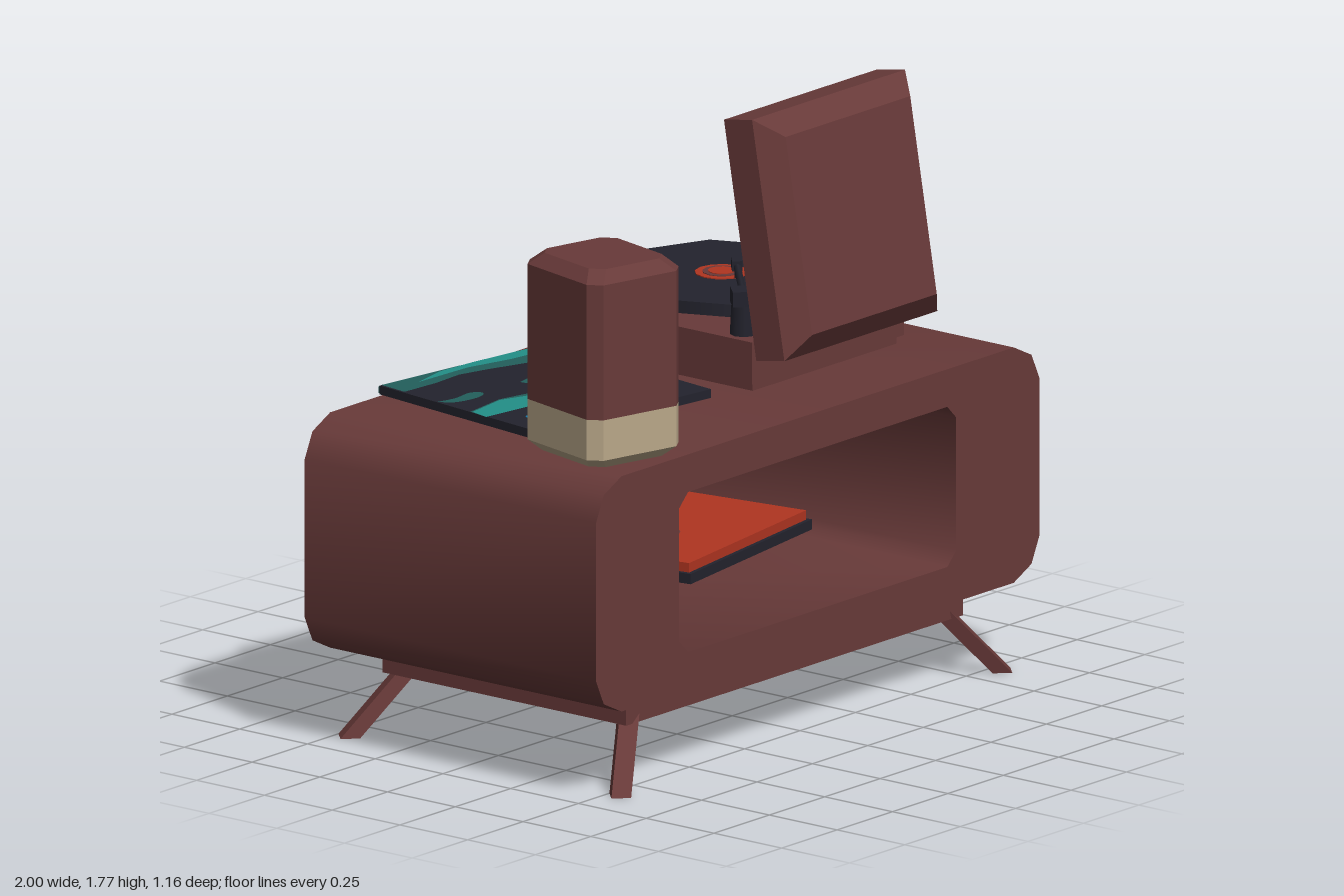
import * as THREE from 'three';
import { toCreasedNormals } from 'three/addons/utils/BufferGeometryUtils.js';

const mat = (name, color, side = THREE.FrontSide) => {
  const m = new THREE.MeshStandardMaterial({ color, side });
  m.name = name;
  return m;
};

export function createModel() {
  const wood = mat('wood', 0x683a39);
  const dark = mat('charcoal', 0x23232d);
  const cream = mat('cream', 0xb9a789);
  const red = mat('red', 0xb03521);
  const deepTeal = mat('deep teal', 0x235f5c);
  const teal = mat('teal', 0x238f88);
  const blue = mat('blue', 0x0f7ab0);

  const model = new THREE.Group();
  const add = (name, geo, material, x = 0, y = 0, z = 0, parent = model) => {
    const m = new THREE.Mesh(geo, material);
    m.name = name;
    m.position.set(x, y, z);
    parent.add(m);
    return m;
  };
  const group = (name, x, y, z, parent = model) => {
    const g = new THREE.Group();
    g.name = name;
    g.position.set(x, y, z);
    parent.add(g);
    return g;
  };
  const box = (w, h, d) => new THREE.BoxGeometry(w, h, d);
  const shapeOf = (pts) => new THREE.Shape(pts.map(([x, y]) => new THREE.Vector2(x, y)));
  const extrude = (shape, depth) => new THREE.ExtrudeGeometry(shape, { depth, bevelEnabled: false, curveSegments: 6 });
  // Rectangle with cut corners
  const cutRect = (w, h, c) => {
    const a = w / 2, b = h / 2;
    return [[a - c, -b], [a, -b + c], [a, b - c], [a - c, b], [-a + c, b], [-a, b - c], [-a, -b + c], [-a + c, -b]];
  };
  // Flat picture lying in the xz plane, facing up
  const picture = (name, pts, material, y, parent = model, smooth = false) => {
    const v = pts.map(([x, z]) => new THREE.Vector2(x, -z));
    const outline = smooth ? new THREE.SplineCurve([...v, v[0]]).getPoints(40).slice(0, -1) : v;
    return add(name, new THREE.ShapeGeometry(new THREE.Shape(outline)).rotateX(-Math.PI / 2), material, 0, y, 0, parent);
  };
  // Cut-corner column through levels of [y, inset]
  const column = (w, d, cut, levels) => {
    const p = [];
    const rings = levels.map(([y, i]) => cutRect(w - 2 * i, d - 2 * i, cut).map(([x, z]) => [x, y, z]));
    const tri = (a, b, c) => p.push(...a, ...b, ...c);
    for (let k = 0; k < rings.length - 1; k++) {
      for (let j = 0; j < 8; j++) {
        const n = (j + 1) % 8, lo = rings[k], hi = rings[k + 1];
        tri(lo[j], hi[j], hi[n]);
        tri(lo[j], hi[n], lo[n]);
      }
    }
    const bottom = rings[0], top = rings[rings.length - 1];
    for (let j = 1; j < 7; j++) {
      tri(bottom[0], bottom[j], bottom[j + 1]);
      tri(top[0], top[j + 1], top[j]);
    }
    const g = new THREE.BufferGeometry();
    g.setAttribute('position', new THREE.Float32BufferAttribute(p, 3));
    g.computeVertexNormals();
    return g;
  };

  // Cabinet: rounded tube, open front to back
  const quarter = [[1, 0.235], [0.965, 0.31], [0.885, 0.349]];
  const mirrorX = (pts) => pts.map(([x, y]) => [-x, y]).reverse();
  const upper = [...quarter, ...mirrorX(quarter)];
  const cabinetShape = shapeOf([...upper, ...upper.map(([x, y]) => [-x, -y])]);
  cabinetShape.holes.push(new THREE.Path(cutRect(1.25, 0.475, 0.04).map(([x, y]) => new THREE.Vector2(x, y))));
  add('cabinet', toCreasedNormals(extrude(cabinetShape, 1.075), 0.8), wood, 0, 0.608, -0.51);
  add('base', box(1.52, 0.09, 0.9), wood, 0, 0.22, 0.03);

  // Splayed legs
  for (const sx of [-1, 1]) for (const sz of [-1, 1]) {
    const g = new THREE.CylinderGeometry(0.04, 0.04, 0.2, 4).toNonIndexed();
    const p = g.attributes.position;
    for (let i = 0; i < p.count; i++) {
      const foot = p.getY(i) < 0;
      p.setX(i, p.getX(i) + sx * (foot ? 0.86 : 0.7));
      p.setZ(i, p.getZ(i) + sz * (foot ? 0.5 : 0.4));
    }
    g.computeVertexNormals();
    add('leg', g, wood, 0, 0.1, 0.04);
  }

  // Speaker
  const speaker = group('speaker', -0.715, 0, 0.358);
  speaker.rotation.y = -0.24;
  add('speakerFoot', column(0.33, 0.35, 0.035, [[0.96, 0.03], [0.99, 0], [1.11, 0]]), cream, 0, 0, 0, speaker);
  add('speakerBody', column(0.33, 0.35, 0.035, [[1.11, 0], [1.51, 0], [1.545, 0.035]]), wood, 0, 0, 0, speaker);
  add('speakerGrille', box(0.26, 0.39, 0.008), dark, 0, 1.31, -0.176, speaker);

  // Turntable body, with a sloping control face
  add('turntablePlinth', box(0.65, 0.03, 0.68), wood, 0.38, 0.97, -0.06);
  const profile = shapeOf([[-0.29, 0.98], [0.49, 0.98], [0.43, 1.105], [-0.29, 1.105]]);
  add('turntableBody', extrude(profile, 0.685).rotateY(Math.PI / 2), wood, 0.04, 0, 0);
  const panel = group('controlPanel', 0.418, 1.045, -0.461);
  panel.rotation.set(0.45, Math.PI, 0);
  add('panelPlate', extrude(shapeOf(cutRect(0.475, 0.1, 0.02)), 0.008), cream, 0, 0, 0, panel);
  add('panelDisplay', extrude(shapeOf(cutRect(0.25, 0.05, 0.012)), 0.009), dark, -0.047, 0, 0.008, panel);
  add('panelKnob', new THREE.CylinderGeometry(0.042, 0.045, 0.03, 10).rotateX(Math.PI / 2), dark, 0.163, 0, 0.02, panel);

  // Record and label
  const record = group('record', 0.38, 0, -0.1);
  add('spindle', new THREE.CylinderGeometry(0.12, 0.12, 0.04, 8), dark, 0, 1.12, 0, record);
  add('disc', new THREE.CylinderGeometry(0.35, 0.35, 0.037, 8), dark, 0, 1.153, 0, record);
  [[0.078, red], [0.056, wood], [0.04, red]].forEach(([r, m], i) =>
    add('label', new THREE.CylinderGeometry(r, r, 0.003, 12), m, 0, 1.173 + i * 0.002, 0, record));

  // Tonearm
  const arm = group('tonearm', 0, 0, 0);
  const rod = (name, a, b, r) => add(name,
    new THREE.TubeGeometry(new THREE.LineCurve3(new THREE.Vector3(...a), new THREE.Vector3(...b)), 1, r, 6), dark, 0, 0, 0, arm);
  add('armPivot', new THREE.CylinderGeometry(0.035, 0.04, 0.1, 8), dark, 0.1, 1.15, 0.21, arm);
  add('armMount', box(0.07, 0.045, 0.07), dark, 0.1, 1.215, 0.21, arm).rotation.y = 0.8;
  rod('armRod', [0.08, 1.21, 0.23], [0.34, 1.215, -0.01], 0.011);
  add('armHead', box(0.03, 0.03, 0.06), dark, 0.35, 1.218, -0.02, arm).rotation.y = -0.83;
  rod('armNeedle', [0.353, 1.215, -0.022], [0.353, 1.175, -0.022], 0.007);

  // Raised lid: rim walls plus a tapered outer shell
  const lid = group('lid', 0.38, 1.055, 0.31);
  lid.rotation.x = -0.17;
  const rim = shapeOf([[-0.345, 0], [0.345, 0], [0.345, 0.705], [-0.345, 0.705]]);
  rim.holes.push(new THREE.Path([[-0.3, 0.045], [0.3, 0.045], [0.3, 0.66], [-0.3, 0.66]].map((p) => new THREE.Vector2(...p))));
  add('lidRim', extrude(rim, 0.105), wood, 0, 0, 0, lid);
  const shell = box(0.69, 0.705, 0.062).toNonIndexed();
  const sp = shell.attributes.position;
  for (let i = 0; i < sp.count; i++) {
    if (sp.getZ(i) < 0) continue;
    sp.setX(i, sp.getX(i) * 0.815);
    sp.setY(i, sp.getY(i) * 0.82);
  }
  shell.computeVertexNormals();
  add('lidShell', shell, wood, 0, 0.3525, 0.136, lid);

  // Sleeve lying on the cabinet
  const sleeve = add('sleeve', box(0.67, 0.026, 0.67), dark, -0.363, 0.97, -0.143);
  sleeve.rotation.y = -0.14;
  add('sleeveEdge', box(0.67, 0.02, 0.006), deepTeal, 0, 0, -0.336, sleeve);
  picture('skyBand', [[-0.645, -0.517], [0.013, -0.425], [0, -0.305], [-0.1, -0.33], [-0.2, -0.345],
    [-0.33, -0.39], [-0.42, -0.415], [-0.53, -0.41], [-0.66, -0.42]], deepTeal, 0.985);
  picture('skyStreak', [[-0.56, -0.45], [-0.43, -0.475], [-0.3, -0.465], [0.012, -0.42], [0.005, -0.375], [-0.2, -0.4], [-0.35, -0.44]], teal, 0.987);
  picture('hills', [[-0.705, -0.14], [-0.55, -0.16], [-0.42, -0.13], [-0.36, -0.15], [-0.37, -0.23], [-0.32, -0.24],
    [-0.27, -0.17], [-0.21, -0.1], [-0.15, -0.07], [-0.08, -0.1], [-0.03, -0.18], [-0.045, 0.02], [-0.72, -0.07]], deepTeal, 0.985);
  picture('water', [[-0.707, -0.13], [-0.56, -0.15], [-0.45, -0.11], [-0.34, -0.08], [-0.2, -0.06], [-0.11, -0.07],
    [-0.03, -0.17], [-0.045, 0.025], [-0.725, -0.065]], teal, 0.987);
  picture('cloud', [[-0.685, -0.28], [-0.62, -0.265], [-0.55, -0.27], [-0.525, -0.24], [-0.57, -0.22], [-0.65, -0.235]], deepTeal, 0.985, model, true);
  picture('blueBar', [[-0.665, 0.045], [-0.64, 0.01], [-0.57, 0.01], [-0.18, 0.068], [-0.13, 0.1], [-0.14, 0.135],
    [-0.2, 0.138], [-0.62, 0.078]], blue, 0.985);

  // Sleeves on the shelf
  const shelfStack = group('shelfSleeves', 0.168, 0, -0.195);
  shelfStack.rotation.y = 0.15;
  add('lowerSleeve', box(0.68, 0.03, 0.68), dark, 0, 0.42, 0, shelfStack);
  add('upperSleeve', box(0.655, 0.028, 0.655), red, 0, 0.449, 0, shelfStack);
  add('upperSleeveEdge', box(0.657, 0.027, 0.006), wood, 0, 0.449, -0.326, shelfStack);
  picture('brownGround', [[-0.327, -0.327], [0.327, -0.327], [0.327, -0.2], [0.24, -0.22], [0.16, -0.17], [0.05, -0.2],
    [-0.03, -0.13], [-0.1, -0.19], [-0.2, -0.15], [-0.327, -0.2]], wood, 0.465, shelfStack);
  picture('creamBlob', [[-0.12, -0.1], [0, -0.13], [0.08, -0.06], [0.02, 0], [-0.02, 0.07], [-0.09, 0]], cream, 0.467, shelfStack, true);
  picture('creamSpot', [[-0.2, -0.06], [-0.15, -0.08], [-0.13, -0.03], [-0.18, 0]], cream, 0.467, shelfStack, true);
  picture('brownSpot', [[-0.15, 0.08], [-0.08, 0.06], [-0.05, 0.13], [-0.12, 0.15]], wood, 0.467, shelfStack, true);

  return model;
}
